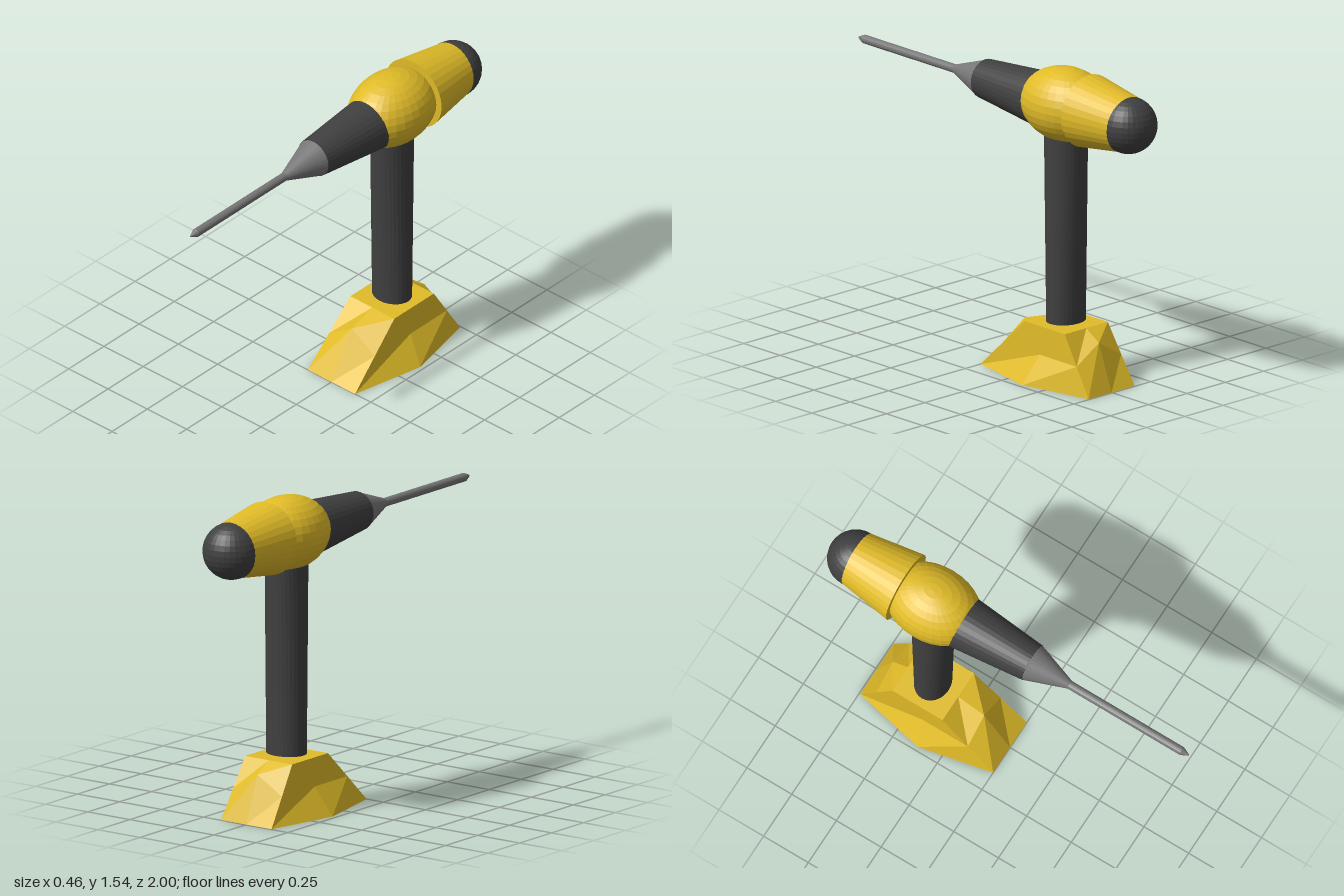
import * as THREE from 'three';

const paint = (color) => new THREE.MeshStandardMaterial({ color, flatShading: true, side: THREE.DoubleSide });

export function createModel() {
  const model = new THREE.Group();
  const yellow = paint(0xe0bb28), dark = paint(0x404040), steel = paint(0x777777);

  const add = (name, geometry, material, x = 0, y = 0, z = 0) => {
    const mesh = new THREE.Mesh(geometry, material);
    mesh.name = name;
    mesh.position.set(x, y, z);
    model.add(mesh);
    return mesh;
  };

  // Moves every vertex of a geometry by a rule
  const reshape = (geometry, rule) => {
    const p = geometry.attributes.position;
    const v = new THREE.Vector3();
    for (let i = 0; i < p.count; i++) {
      rule(v.fromBufferAttribute(p, i));
      p.setXYZ(i, v.x, v.y, v.z);
    }
    geometry.computeVertexNormals();
    return geometry;
  };

  // Tapered barrel along z; each end is [z, radius, centre height]
  const barrel = (name, material, back, front, sides = 32) => {
    const length = front[0] - back[0];
    const geometry = new THREE.CylinderGeometry(front[1], back[1], length, sides);
    geometry.rotateX(Math.PI / 2);
    reshape(geometry, (v) => {
      v.y += THREE.MathUtils.lerp(back[2], front[2], v.z / length + 0.5);
    });
    return add(name, geometry, material, 0, 0, (back[0] + front[0]) / 2);
  };

  // Battery foot: a subdivided box with sloped, bulging sides
  const frontZ = [0, -0.145, -0.29], backZ = [-0.745, -0.657, -0.57];
  const halfWidth = [0.15, 0.145, 0.14];
  const foot = reshape(new THREE.BoxGeometry(2, 2, 2, 2, 2, 2), (v) => {
    const i = Math.round(v.x), j = Math.round(v.y) + 1, k = Math.round(v.z);
    const bulge = j === 1 && i === 0;
    v.x = i * (j === 0 && k === 0 ? 0.23 : halfWidth[j]);
    v.y = bulge ? 0.23 + k * 0.004 : j * 0.14;
    v.z = k > 0 ? frontZ[j] : k < 0 ? backZ[j] : (frontZ[j] + backZ[j]) / 2;
  });
  add('batteryFoot', foot, yellow);

  // Handle: oval grip that deepens towards the top
  const handle = reshape(new THREE.CylinderGeometry(1, 1, 0.96, 32), (v) => {
    v.x *= 0.102;
    v.z *= THREE.MathUtils.lerp(0.086, 0.108, v.y / 0.96 + 0.5);
  });
  add('handle', handle, dark, 0, 0.77, -0.43);

  // Body and rear motor housing
  const body = new THREE.SphereGeometry(1, 32, 16);
  body.scale(0.184, 0.18, 0.25);
  add('body', body, yellow, 0, 1.364, -0.43);
  barrel('motorHousing', yellow, [-0.865, 0.136, 1.362], [-0.583, 0.178, 1.366]);
  add('rearCap', new THREE.SphereGeometry(0.138, 32, 16), dark, 0, 1.36, -0.862);

  // Nose, chuck and bit
  barrel('nose', dark, [-0.35, 0.141, 1.35], [0.127, 0.095, 1.36]);
  barrel('chuck', steel, [0.125, 0.094, 1.359], [0.335, 0.021, 1.359]);
  barrel('bitShaft', steel, [0.33, 0.021, 1.359], [0.962, 0.021, 1.359], 16);
  barrel('bitTip', steel, [0.962, 0.021, 1.359], [1.0, 0.004, 1.359], 16);

  return model;
}
